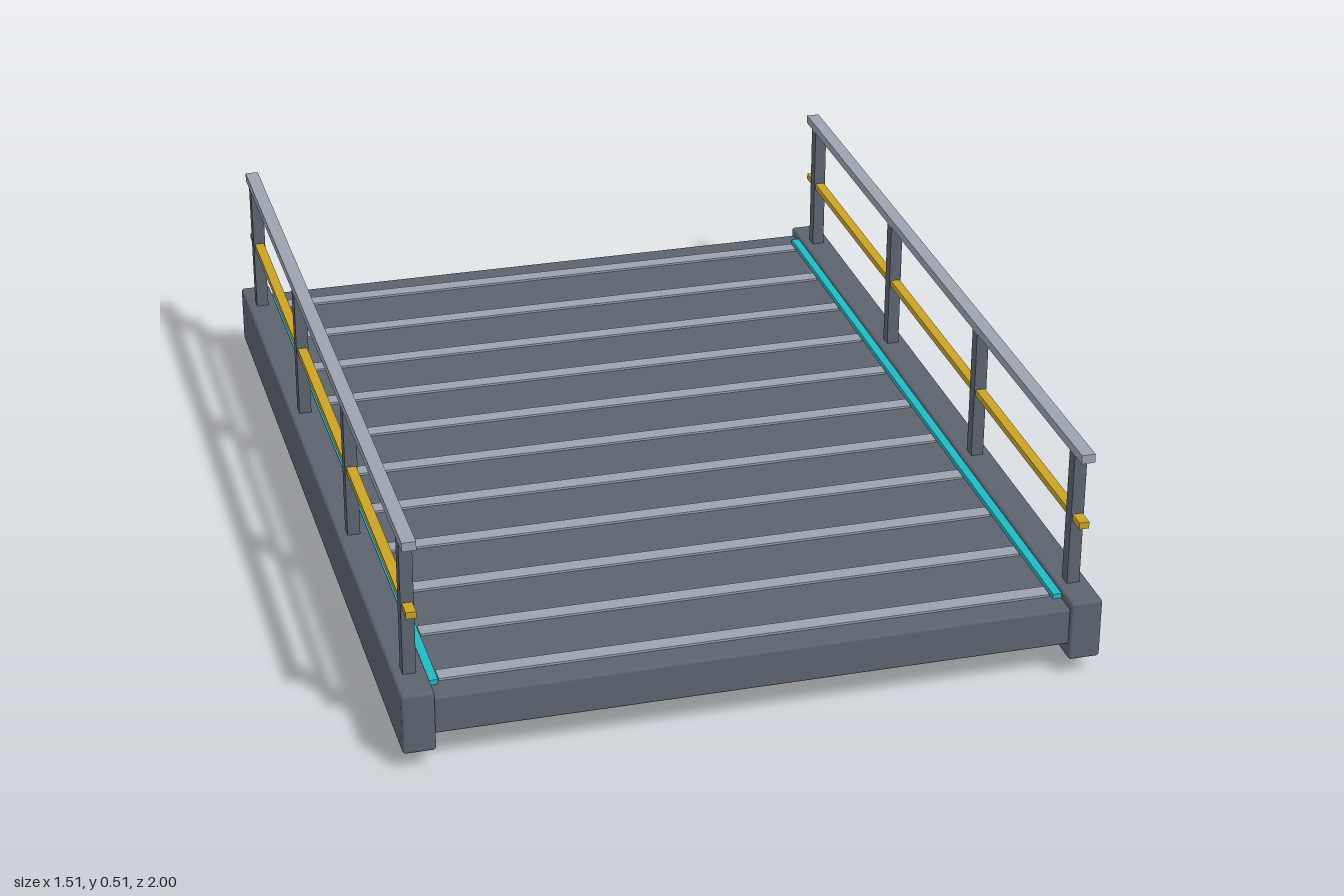
import * as THREE from 'three';
import { RoundedBoxGeometry } from 'three/addons/geometries/RoundedBoxGeometry.js';

const material = (name, color) => {
  const m = new THREE.MeshStandardMaterial({ color });
  m.name = name;
  return m;
};

export function createModel() {
  const steel = material('dark steel', 0x5c636e);
  const lightSteel = material('light steel', 0x9ca3af);
  const yellow = material('safety yellow', 0xc9a227);
  const cyan = material('cyan light', 0x22b8c4);

  const model = new THREE.Group();
  model.name = 'bridgeSection';

  const add = (parent, name, geometry, mat, x, y, z) => {
    const mesh = new THREE.Mesh(geometry, mat);
    mesh.name = name;
    mesh.position.set(x, y, z);
    parent.add(mesh);
  };
  const box = (w, h, d) => new THREE.BoxGeometry(w, h, d);

  // Deck slab
  add(model, 'deck', new RoundedBoxGeometry(1.42, 0.086, 1.98, 2, 0.006), steel, 0, 0.119, 0);

  // Raised tread strips across the deck
  const tread = box(1.325, 0.012, 0.036);
  for (let i = -5; i <= 5; i++) {
    add(model, 'treadStrip', tread, lightSteel, 0, 0.161, i * 0.182);
  }

  // Cross beams underneath
  const crossBeam = box(1.386, 0.08, 0.08);
  for (const z of [-0.66, 0, 0.66]) {
    add(model, 'crossBeam', crossBeam, steel, 0, 0.04, z);
  }

  // Side girder, light strip and railing on each side
  const girder = new RoundedBoxGeometry(0.07, 0.138, 2, 2, 0.007);
  const post = box(0.028, 0.32, 0.03);
  for (const side of [-1, 1]) {
    const group = new THREE.Group();
    group.name = side > 0 ? 'leftSide' : 'rightSide';
    const x = side * 0.72;
    add(group, 'sideGirder', girder, steel, x, 0.111, 0);
    add(group, 'lightStrip', box(0.02, 0.014, 1.88), cyan, side * 0.676, 0.166, 0);
    for (const z of [-0.9, -0.3, 0.3, 0.9]) {
      add(group, 'railPost', post, steel, x, 0.334, z);
    }
    add(group, 'topRail', box(0.03, 0.02, 1.91), lightSteel, x, 0.498, 0);
    add(group, 'midRail', box(0.022, 0.015, 1.91), yellow, x, 0.34, 0);
    model.add(group);
  }
  return model;
}
